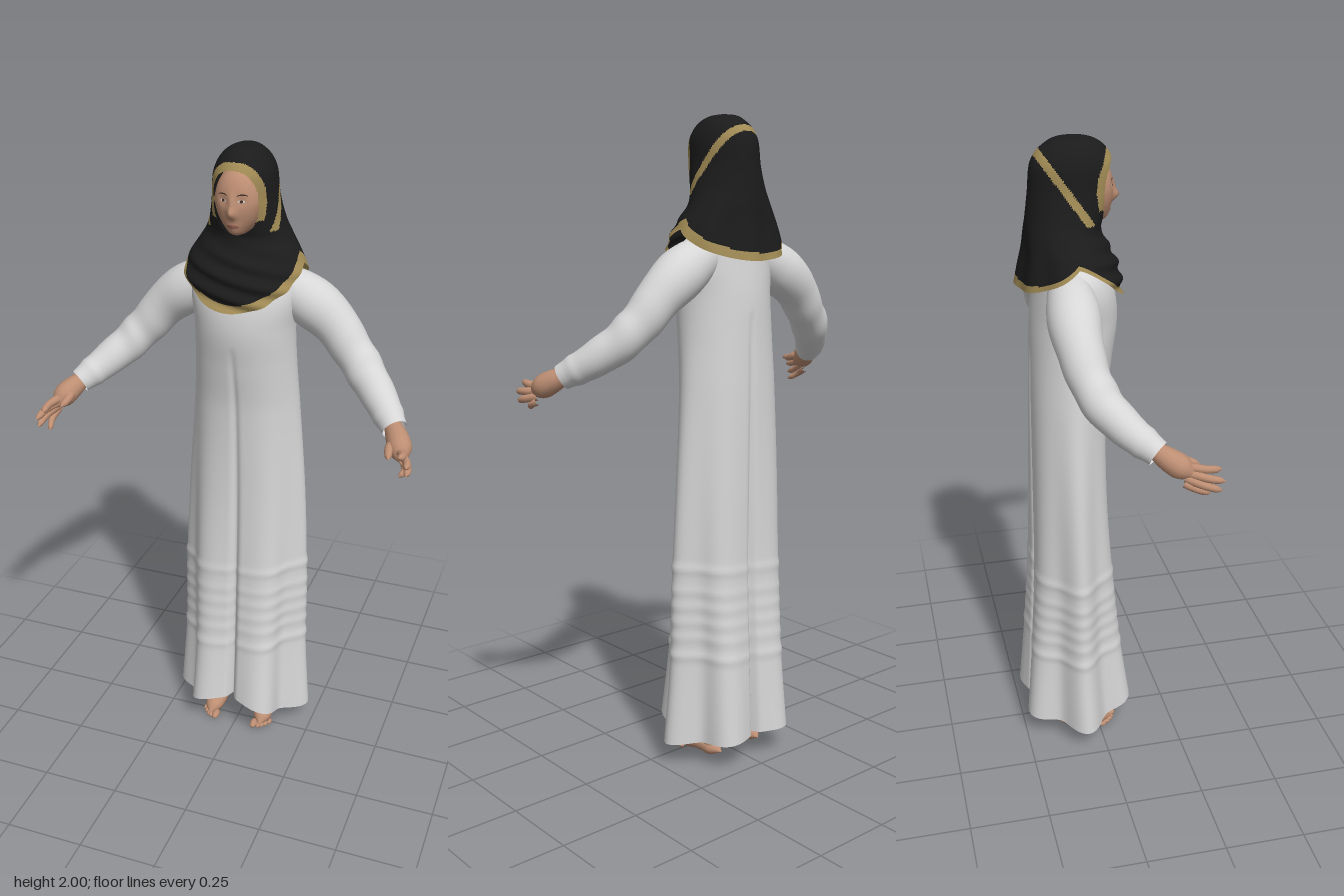
import * as THREE from 'three';
import { mergeVertices } from 'three/addons/utils/BufferGeometryUtils.js';

const flat = (name, color, side = THREE.FrontSide) => {
  const m = new THREE.MeshStandardMaterial({ color, side });
  m.name = name;
  return m;
};

// Smooth interpolation of rows [key, a, b, ...] at a given key
function sample(rows, k) {
  const n = rows.length;
  k = Math.min(Math.max(k, rows[0][0]), rows[n - 1][0]);
  let i = 0;
  while (i < n - 2 && k > rows[i + 1][0]) i++;
  const slope = (j, c) => {
    const p = rows[Math.max(j - 1, 0)], q = rows[Math.min(j + 1, n - 1)];
    return (q[c] - p[c]) / (q[0] - p[0]);
  };
  const A = rows[i], B = rows[i + 1], h = B[0] - A[0], t = (k - A[0]) / h;
  return A.slice(1).map((_, j) => {
    const c = j + 1, t2 = t * t, t3 = t2 * t;
    return (2 * t3 - 3 * t2 + 1) * A[c] + (t3 - 2 * t2 + t) * h * slope(i, c)
      + (3 * t2 - 2 * t3) * B[c] + (t3 - t2) * h * slope(i + 1, c);
  });
}

// Closed rings stacked upward; pick(point, angle) chooses a material or -1 for a gap
function loft(name, cols, rows, point, mats, pick = () => 0) {
  const pos = [], lists = mats.map(() => []), angle = j => (j / cols) * Math.PI * 2;
  for (let i = 0; i <= rows; i++)
    for (let j = 0; j < cols; j++) pos.push(...point(angle(j), i / rows));
  for (let i = 0; i < rows; i++)
    for (let j = 0; j < cols; j++) {
      const a = i * cols + j, b = i * cols + (j + 1) % cols, c = b + cols, d = a + cols;
      const mid = [0, 1, 2].map(k => (pos[a * 3 + k] + pos[c * 3 + k]) / 2);
      const m = pick(mid, angle(j + 0.5));
      if (m >= 0) lists[m].push(b, a, d, b, d, c);
    }
  const g = new THREE.BufferGeometry();
  g.setAttribute('position', new THREE.Float32BufferAttribute(pos, 3));
  g.setIndex(lists.flat());
  let start = 0;
  lists.forEach((l, i) => { g.addGroup(start, l.length, i); start += l.length; });
  g.computeVertexNormals();
  const mesh = new THREE.Mesh(g, mats);
  mesh.name = name;
  return mesh;
}

// Tube along points with a changing radius
function limb(name, points, radii, mat, { seg = 16, sides = 14, wrinkle = () => 0 } = {}) {
  const curve = new THREE.CatmullRomCurve3(points.map(p => new THREE.Vector3(...p)));
  const g = new THREE.TubeGeometry(curve, seg, 1, sides);
  const table = radii.map((r, i) => [i / (radii.length - 1), r]);
  const p = g.attributes.position, v = new THREE.Vector3();
  for (let i = 0; i < p.count; i++) {
    const t = Math.floor(i / (sides + 1)) / seg, c = curve.getPointAt(t);
    v.fromBufferAttribute(p, i).sub(c);
    v.multiplyScalar(Math.max(sample(table, t)[0], 0.0005) + wrinkle(t, v)).add(c);
    p.setXYZ(i, v.x, v.y, v.z);
  }
  g.deleteAttribute('uv');
  g.deleteAttribute('normal');
  const merged = mergeVertices(g, 1e-6);
  merged.computeVertexNormals();
  const mesh = new THREE.Mesh(merged, mat);
  mesh.name = name;
  return mesh;
}

const bell = (d, w) => Math.exp(-(d * d) / (w * w));

// Face relief: from unit sphere coordinates to the head's surface
const jaw = v => 1 - 0.16 * Math.max(0, -v);
function relief(x, y) {
  const ax = Math.abs(x);
  return 0.02 * bell(x, 0.012) * bell(y - 1.826, 0.016) + 0.008 * bell(x, 0.010) * bell(y - 1.855, 0.022)
    - 0.004 * bell(ax - 0.027, 0.014) * bell(y - 1.862, 0.013)
    + 0.006 * bell(x, 0.024) * bell(y - 1.787, 0.014) + 0.014 * bell(x, 0.028) * bell(y - 1.762, 0.016);
}
function faceZ(x, y) {
  const v = (y - 1.85) / 0.1, u = x / (0.071 * jaw(v));
  return -0.03 + 0.088 * Math.pow(Math.max(0, 1 - u * u - v * v), 0.33) + relief(x, y);
}

function makeFace(mats) {
  const face = new THREE.Group();
  face.name = 'face';
  const g = new THREE.SphereGeometry(1, 72, 56), p = g.attributes.position;
  for (let i = 0; i < p.count; i++) {
    const v = p.getY(i), w = p.getZ(i), x = p.getX(i) * 0.071 * jaw(v), y = 1.85 + 0.1 * v;
    p.setXYZ(i, x, y, w > 0 ? -0.03 + 0.088 * Math.pow(w, 0.66) + relief(x, y) * Math.min(1, w * 3) : -0.03 + 0.08 * w);
  }
  g.computeVertexNormals();
  const head = new THREE.Mesh(g, mats.skin);
  head.name = 'head';
  face.add(head);
  // Thin painted details that follow the face
  const patch = (name, cx, cy, rx, ry, mat, lift = 0.001, tilt = 0) => {
    const d = new THREE.RingGeometry(0, 1, 24, 4), q = d.attributes.position;
    for (let i = 0; i < q.count; i++) {
      const x = cx + q.getX(i) * rx, y = cy + q.getY(i) * ry + tilt * (1 - q.getX(i) ** 2);
      q.setXYZ(i, x, y, faceZ(x, y) + lift);
    }
    d.computeVertexNormals();
    const m = new THREE.Mesh(d, mat);
    m.name = name;
    face.add(m);
  };
  for (const s of [-1, 1]) {
    patch('eye', s * 0.027, 1.861, 0.010, 0.004, mats.eyeWhite);
    patch('iris', s * 0.027, 1.861, 0.0045, 0.004, mats.brown, 0.002);
    patch('eyebrow', s * 0.029, 1.876, 0.015, 0.0018, mats.brown, 0.001, 0.004);
  }
  patch('lips', 0, 1.787, 0.018, 0.006, mats.lip);
  return face;
}

// Robe outline by height: half width, front z, back z
const ROBE = [[0.07, 0.236, 0.135, -0.265], [0.35, 0.216, 0.09, -0.237], [0.6, 0.212, 0.062, -0.217],
  [0.9, 0.197, 0.04, -0.207], [1.2, 0.172, 0.038, -0.2], [1.35, 0.16, 0.055, -0.195], [1.47, 0.156, 0.07, -0.19],
  [1.56, 0.165, 0.06, -0.18], [1.62, 0.155, 0.03, -0.17], [1.66, 0.11, -0.01, -0.15], [1.7, 0.06, -0.03, -0.12]];
function robePoint(a, v) {
  const s = Math.sin(a), hem = 0.072 + 0.065 * Math.max(0, s) ** 3 + 0.018 * Math.max(0, -s);
  const y = hem + (1.7 - hem) * v, [w, f, b] = sample(ROBE, y);
  const drop = Math.min(Math.max((1.42 - y) / 1.35, 0), 1);
  // Six hanging folds, a sharp crease at centre front and back, and stitched tucks
  let k = 1 - 0.22 * Math.pow(drop, 1.1) * (1 - Math.cos(6 * a)) / 2;
  k -= 0.17 * Math.sqrt(drop) * bell(Math.cos(a), 0.06);
  for (const t of [0.63, 0.56, 0.51, 0.46, 0.41, 0.35])
    k += (t === 0.63 || t === 0.35 ? 0.02 : 0.013) * bell(y - t - 0.015 * Math.cos(a), 0.013);
  return [w * k * Math.cos(a), y, (f + b) / 2 + ((f - b) / 2) * k * s];
}

// Headscarf outline by height: half width, front z, back z
const SCARF = [[1.53, 0.195, 0.085, -0.235], [1.62, 0.193, 0.075, -0.217], [1.68, 0.17, 0.05, -0.205],
  [1.74, 0.132, 0.022, -0.2], [1.78, 0.113, 0.032, -0.195], [1.85, 0.096, 0.055, -0.187], [1.92, 0.089, 0.06, -0.18],
  [1.955, 0.076, 0.045, -0.163], [1.98, 0.056, 0.02, -0.135], [1.995, 0.03, -0.015, -0.105], [2, 0, -0.06, -0.06]];
const scarfHem = a => {
  const s = Math.sin(a);
  return 1.665 - (s > 0 ? 0.125 * s ** 1.5 : 0.09 * (-s) ** 0.9);
};
function scarfPoint(a, v) {
  const hem = scarfHem(a), y = hem + (2 - hem) * Math.sin(v * Math.PI / 2), [w, f, b] = sample(SCARF, y);
  const s = Math.sin(a), low = Math.min(Math.max((1.76 - y) / 0.1, 0), 1);
  // Draped swags in front, hanging folds behind
  const k = 1 + low * (s > 0 ? 0.04 * s * Math.sin(y * 120 + 5 * Math.cos(a)) : -0.035 * s * Math.cos(9 * a));
  return [w * k * Math.cos(a), y, (f + b) / 2 + ((f - b) / 2) * k * s];
}
// Face opening, gold rim over the brow, gold hem (broader on the left) and slanted band
function scarfColour([x, y, z], a) {
  const oval = (rx, ry) => z > -0.05 && Math.sin(a) > 0 && Math.abs(x / rx) ** 2.4 + Math.abs((y - 1.85) / ry) ** 2.4 < 1;
  if (oval(0.067, 0.094)) return -1;
  if (oval(0.083, 0.115) && y > 1.8) return 1;
  if (y - scarfHem(a) < 0.023 + 0.009 * Math.cos(a)) return 1;
  return y > 1.765 && Math.abs(y - 1.97 + 1.4 * (z + 0.17)) < 0.02 ? 1 : 0;
}

function makeArm(s, drop, reach, mats) {
  const arm = new THREE.Group();
  arm.name = s > 0 ? 'leftArm' : 'rightArm';
  const at = (x, y, z) => [s * x, y, z];
  arm.add(limb('sleeve',
    [at(0.09, 1.595, -0.09), at(0.17, 1.555, -0.095), at(0.26, 1.49, -0.098), at(0.36, 1.375, -0.07), at(0.435, 1.305, -0.01), at(0.505, 1.247, 0.07)],
    [0.06, 0.077, 0.066, 0.06, 0.053, 0.038], mats.robe,
    { seg: 60, sides: 28, wrinkle: (t, v) => 0.003 * Math.sin(t * 32 + v.y * 2) * bell(t - 0.6, 0.13) + 0.003 * bell(t - 0.92, 0.02) }));
  // Hand: wrist and palm, then fingers fanned in height
  arm.add(limb('palm', [at(0.47, 1.275, 0.035), at(0.505, 1.247, 0.075), at(0.53, 1.222, 0.115), at(0.548, 1.195, 0.16), at(0.551, 1.19, 0.17)],
    [0.025, 0.026, 0.034, 0.033, 0], mats.skin));
  const tips = [[0.55, 1.217, 0.225], [0.573, 1.19, 0.23], [0.573, 1.162, 0.222], [0.547, 1.143, 0.195]];
  tips.forEach(([x, y, z], i) => {
    const r = i === 3 ? 0.0105 : 0.012, root = [0.54 + 0.004 * i, 1.216 - 0.014 * i, 0.145 - 0.005 * i];
    const tip = [x, y - drop, z + reach];
    const mid = root.map((c, k) => (c + tip[k]) / 2 + (k === 0 ? 0.009 : 0));
    arm.add(limb('finger', [at(...root), at(...mid), at(...tip)], [1, 1.1, 1.05, 1, 0.95, 0.9, 0.75, 0].map(f => f * r), mats.skin, { sides: 10 }));
  });
  arm.add(limb('thumb', [at(0.522, 1.228, 0.1), at(0.508, 1.222, 0.14), at(0.516, 1.205, 0.188)],
    [0.016, 0.017, 0.015, 0.013, 0.012, 0.01, 0], mats.skin, { sides: 10 }));
  return arm;
}

function makeLeg(s, mats) {
  const leg = new THREE.Group();
  leg.name = s > 0 ? 'leftLeg' : 'rightLeg';
  leg.add(limb('shin', [[s * 0.08, 0.5, -0.09], [s * 0.083, 0.3, -0.1], [s * 0.083, 0.1, -0.105], [s * 0.083, 0.03, -0.1]],
    [0.045, 0.042, 0.028, 0.028], mats.skin));
  const foot = limb('foot', [[s * 0.08, 0.03, -0.148], [s * 0.082, 0.036, -0.12], [s * 0.086, 0.042, -0.06], [s * 0.09, 0.032, 0], [s * 0.092, 0.017, 0.046]],
    [0, 0.028, 0.031, 0.032, 0.033, 0.027, 0], mats.skin, { seg: 28 });
  foot.scale.y = 0.85;
  leg.add(foot);
  // Toes, big toe on the inner side
  for (let i = 0; i < 5; i++) {
    const r = i ? 0.0095 - 0.0005 * i : 0.0125;
    const toe = new THREE.Mesh(new THREE.SphereGeometry(r, 12, 8), mats.skin);
    toe.name = 'toe';
    toe.position.set(s * (0.071 + (i ? 0.006 : 0) + 0.0105 * i), r * 0.95, 0.04 - 0.002 * i * i);
    toe.scale.set(1, 0.95, 1.9);
    leg.add(toe);
  }
  return leg;
}

export function createModel() {
  const mats = {
    robe: flat('robe white', 0xd6d6d6, THREE.DoubleSide),
    scarf: flat('scarf black', 0x1b1b1b, THREE.DoubleSide),
    gold: flat('trim gold', 0xa18b55, THREE.DoubleSide),
    skin: flat('skin', 0xbd8e73),
    lip: flat('lip', 0xa0675a),
    brown: flat('dark brown', 0x3f2e25),
    eyeWhite: flat('eye white', 0xd5cdc6),
  };
  const model = new THREE.Group();
  model.name = 'robedWoman';
  model.add(loft('robe', 180, 160, robePoint, [mats.robe]));
  model.add(loft('headscarf', 160, 130, scarfPoint, [mats.scarf, mats.gold], scarfColour));
  model.add(makeFace(mats));
  model.add(makeArm(-1, 0.012, 0.014, mats), makeArm(1, -0.008, -0.02, mats));
  for (const s of [-1, 1]) model.add(makeLeg(s, mats));
  return model;
}
